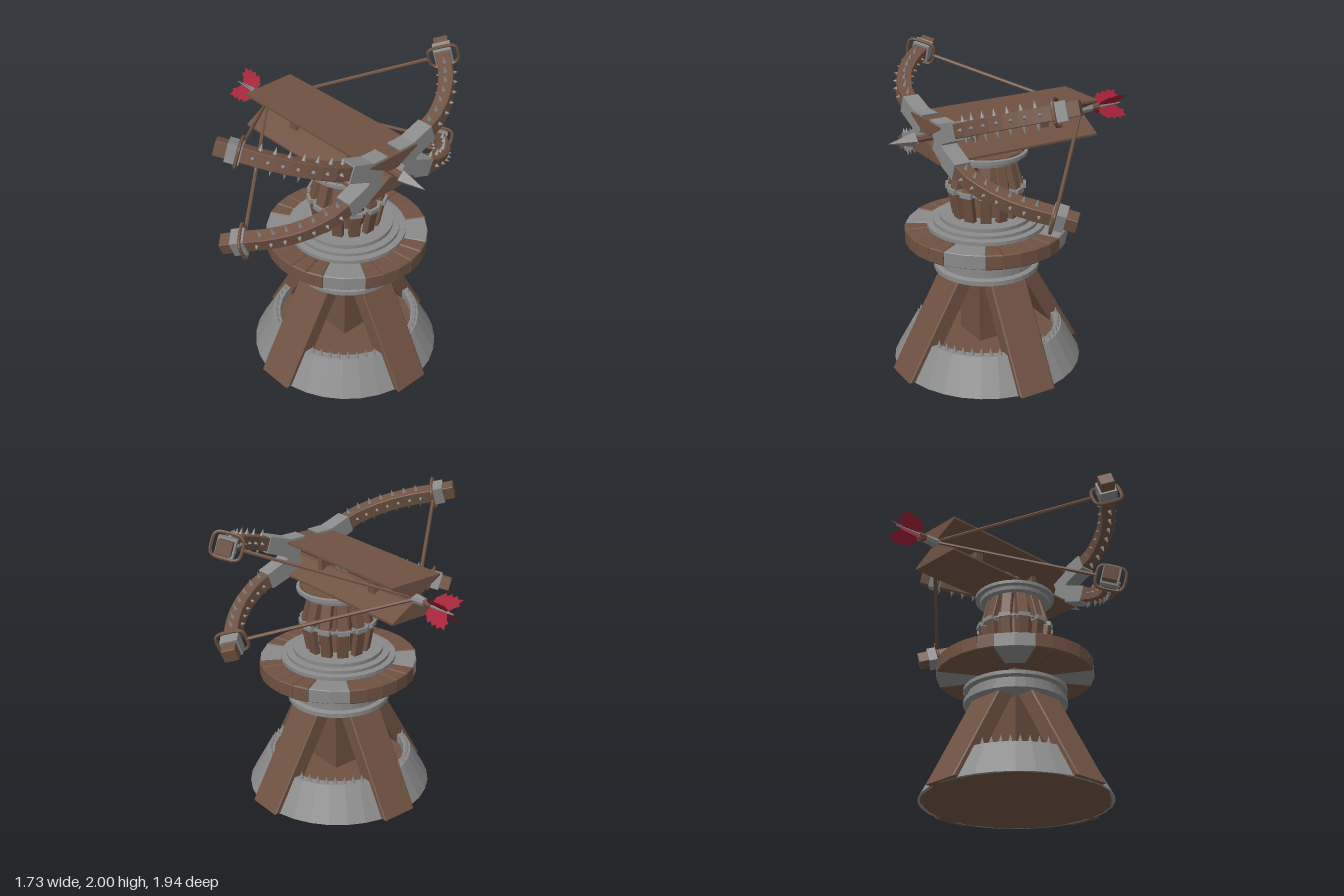
import * as THREE from 'three';

const mat = (name, color, o = {}) => {
  const m = new THREE.MeshStandardMaterial({ color, flatShading: true, ...o });
  m.name = name;
  return m;
};

export function createModel() {
  const wood = mat('wood', 0x6f5242);
  const metal = mat('metal', 0x8a8a8a);
  const red = mat('featherRed', 0xa31f35, { side: THREE.DoubleSide });
  const model = new THREE.Group();
  model.name = 'ballista';

  const add = (parent, name, geo, material, x = 0, y = 0, z = 0) => {
    const mesh = new THREE.Mesh(geo, material);
    mesh.name = name;
    mesh.position.set(x, y, z);
    parent.add(mesh);
    return mesh;
  };
  const group = (parent, name, x = 0, y = 0, z = 0) => {
    const g = new THREE.Group();
    g.name = name;
    g.position.set(x, y, z);
    parent.add(g);
    return g;
  };
  const box = (w, h, d) => new THREE.BoxGeometry(w, h, d);
  const lathe = (pts, n = 32) => new THREE.LatheGeometry(pts.map(p => new THREE.Vector2(...p)), n);
  const shape = pts => new THREE.Shape(pts.map(p => new THREE.Vector2(...p)));
  // Extrusion centred on its depth, with an optional chamfer
  const slab = (pts, depth, bevel = 0) => new THREE.ExtrudeGeometry(shape(pts), {
    depth: depth - 2 * bevel, bevelEnabled: bevel > 0, bevelThickness: bevel,
    bevelSize: bevel, bevelOffset: -bevel, bevelSegments: 1,
  }).translate(0, 0, -depth / 2 + bevel);
  // Flat ring segment centred on +x
  const wedge = (r0, r1, half, h, steps, bevel) => {
    const pts = [];
    for (let i = 0; i <= steps; i++) {
      const a = half * (2 * i / steps - 1);
      pts.push([r1 * Math.cos(a), r1 * Math.sin(a)]);
    }
    for (let i = steps; i >= 0; i--) {
      const a = half * (2 * i / steps - 1);
      pts.push([r0 * Math.cos(a), r0 * Math.sin(a)]);
    }
    return slab(pts, h, bevel).rotateX(-Math.PI / 2);
  };
  const deg = Math.PI / 180;

  // ---- Base ----
  const base = group(model, 'base', 0.2, 0, -0.015);
  add(base, 'baseFloor', new THREE.CylinderGeometry(0.5, 0.61, 0.17, 32), wood, 0, 0.085);
  add(base, 'baseBand', lathe([[0.6, 0], [0.625, 0], [0.5, 0.23], [0.45, 0.23], [0.45, 0.15]]), metal);
  add(base, 'centrePost', box(0.26, 0.86, 0.26), wood, 0, 0.43);
  const legGeo = slab([[0.52, 0], [0.648, 0], [0.265, 0.67], [0.14, 0.67]], 0.255, 0.008);
  const baseSpike = new THREE.ConeGeometry(0.016, 0.055, 6);
  for (let q = 0; q < 4; q++) {
    add(base, 'leg', legGeo, wood).rotation.y = q * Math.PI / 2;
    for (let i = 0; i < 8; i++) {
      const a = q * Math.PI / 2 + (20 + i * 50 / 7) * deg;
      add(base, 'baseSpike', baseSpike, metal, 0.475 * Math.cos(a), 0.255, 0.475 * Math.sin(a));
    }
  }
  add(base, 'collar', lathe([[0, 0.65], [0.345, 0.65], [0.345, 0.68], [0.315, 0.69],
    [0.315, 0.73], [0.345, 0.74], [0.345, 0.765], [0.29, 0.765], [0.28, 0.75], [0, 0.75]]), metal);

  // ---- Platform: five planks per side, metal plates on the diagonals ----
  const platform = group(base, 'platform', 0, 0.895, 0);
  add(platform, 'platformCore', new THREE.CylinderGeometry(0.3, 0.3, 0.08, 24), wood);
  const plankGeo = wedge(0.26, 0.53, 6 * deg, 0.1, 1, 0.007);
  const plateGeo = wedge(0.26, 0.525, 14.5 * deg, 0.094, 2, 0.004);
  for (let q = 0; q < 4; q++) {
    for (let i = -2; i <= 2; i++) {
      add(platform, 'plank', plankGeo, wood).rotation.y = q * Math.PI / 2 + i * 12.2 * deg;
    }
    add(platform, 'cornerPlate', plateGeo, metal).rotation.y = (q + 0.5) * Math.PI / 2;
  }
  add(base, 'turntable', lathe([[0, 0.94], [0.385, 0.94], [0.385, 0.968], [0.345, 0.972],
    [0.345, 0.993], [0.3, 0.997], [0.3, 1.022], [0, 1.022]]), metal);

  // ---- Turret: a core inside a cage of bent staves ----
  const turret = group(base, 'turret');
  add(turret, 'turretCore', new THREE.CylinderGeometry(0.11, 0.13, 0.42, 8), wood, 0, 1.22);
  const staveGeo = slab([[0.17, 1.015], [0.215, 1.015], [0.247, 1.2], [0.185, 1.42], [0.135, 1.42], [0.2, 1.2]], 0.07, 0.005);
  for (let i = 0; i < 12; i++) {
    const bay = group(turret, 'staveBay');
    bay.rotation.y = (i * 30) * deg;
    add(bay, 'stave', staveGeo, wood);
    add(bay, 'staveClip', box(0.065, 0.03, 0.08), metal, 0.225, 1.21);
    add(bay, 'cageBar', box(0.015, 0.015, 0.13), metal, 0.225, 1.21).rotation.y = 0;
  }
  add(turret, 'turretRing', lathe([[0, 1.4], [0.235, 1.4], [0.24, 1.425], [0.27, 1.43],
    [0.27, 1.452], [0.25, 1.456], [0.25, 1.45]]), metal);
  add(turret, 'turretCap', new THREE.CylinderGeometry(0.25, 0.25, 0.03, 10), wood, 0, 1.444);

  // ---- Stock: two facing wedges with the bolt between them ----
  const stock = group(model, 'stock', 0.035, 0, 0);
  const top = [[-0.19, 1.702], [-0.19, 1.688], [-0.035, 1.61], [0.035, 1.61], [0.19, 1.688], [0.19, 1.702]];
  const bottom = [[-0.185, 1.46], [0.185, 1.46], [0.185, 1.474], [0.035, 1.56], [-0.035, 1.56], [-0.185, 1.474]];
  add(stock, 'topRail', slab(top, 1.15).rotateY(Math.PI / 2), wood);
  add(stock, 'bottomRail', slab(bottom, 1.15).rotateY(Math.PI / 2), wood);
  add(stock, 'rearBracket', box(0.06, 0.125, 0.15), wood, -0.245, 1.59);
  add(stock, 'frontBracket', box(0.04, 0.125, 0.15), wood, 0.27, 1.59);

  // ---- Bolt ----
  const bolt = group(model, 'bolt', 0, 1.588, 0);
  const rod = (name, r0, r1, x0, x1, m, n = 8) =>
    add(bolt, name, new THREE.CylinderGeometry(r1, r0, x1 - x0, n).rotateZ(-Math.PI / 2), m, (x0 + x1) / 2);
  rod('shaft', 0.024, 0.024, -0.68, 0.7, wood);
  rod('nock', 0.027, 0.034, -0.62, -0.51, metal);
  rod('shaftBand', 0.027, 0.027, 0.09, 0.145, metal);
  rod('shaftBand', 0.027, 0.027, 0.165, 0.215, metal);
  rod('tailSpine', 0.004, 0.018, -0.86, -0.66, metal);
  rod('boltHead', 0.048, 0.001, 0.685, 0.86, metal, 4);
  const feather = new THREE.ShapeGeometry(shape([[-0.67, 0], [-0.67, 0.055], [-0.7, 0.085], [-0.72, 0.105],
    [-0.74, 0.09], [-0.765, 0.112], [-0.785, 0.095], [-0.81, 0.115], [-0.825, 0.098], [-0.865, 0.105],
    [-0.85, 0.075], [-0.865, 0.06], [-0.835, 0.04], [-0.81, 0]]));
  for (let i = 0; i < 4; i++) add(bolt, 'feather', feather, red).rotation.x = (45 + i * 90) * deg;

  // ---- Four bow arms, each curving in its own tilted plane ----
  const curve = new THREE.SplineCurve([[0.55, 0.28], [0.548, 0.38], [0.53, 0.48], [0.455, 0.64],
    [0.34, 0.78], [0.225, 0.88], [0.11, 0.985]].map(p => new THREE.Vector2(...p)));
  const at = (u, off = 0) => {
    const p = curve.getPointAt(u), t = curve.getTangentAt(u);
    return { x: p.x + t.y * off, z: p.y - t.x * off, t };
  };
  const outline = [];
  for (let i = 0; i <= 10; i++) outline.push([at(i / 10, 0.046).x, at(i / 10, 0.046).z]);
  for (let i = 10; i >= 0; i--) outline.push([at(i / 10, -0.046).x, at(i / 10, -0.046).z]);
  const armGeo = slab(outline, 0.09, 0.004).rotateX(Math.PI / 2);
  const sleeveGeo = slab([[0.09, -0.1], [0.13, -0.085], [0.2, -0.06], [0.36, -0.056],
    [0.36, 0.056], [0.2, 0.06], [0.13, 0.085], [0.09, 0.1]], 0.108).rotateY(-Math.PI / 2);
  const spikeGeo = new THREE.ConeGeometry(0.015, 0.05, 6).translate(0, 0.02, 0);
  const studGeo = new THREE.ConeGeometry(0.014, 0.028, 6).translate(0, 0.01, 0);
  const up = new THREE.Vector3(0, 1, 0);
  // Rounded rope loop around the arm
  const loopPts = [];
  for (let i = 0; i < 16; i++) {
    const c = Math.cos(i * Math.PI / 8), s = Math.sin(i * Math.PI / 8);
    loopPts.push(new THREE.Vector3(0.095 * Math.sign(c) * Math.sqrt(Math.abs(c)), 0.078 * Math.sign(s) * Math.sqrt(Math.abs(s)), 0));
  }
  const loopGeo = new THREE.TubeGeometry(new THREE.CatmullRomCurve3(loopPts, true), 32, 0.011, 6, true);

  for (const angle of [-20.5, 20.5, 159.5, 200.5]) {
    const arm = group(model, 'bowArm', 0, 1.59, 0);
    arm.rotation.x = angle * deg;
    add(arm, 'limb', armGeo, wood);
    add(arm, 'limbSleeve', sleeveGeo, metal, 0.55);
    for (let i = 0; i < 7; i++) {
      const u = 0.14 + i * 0.095;
      for (const side of [1, -1]) {
        const e = at(u), f = at(u + 0.03, side * 0.046);
        const spike = add(arm, 'limbSpike', spikeGeo, metal, e.x, side * 0.045, e.z);
        if (side < 0) spike.rotation.x = Math.PI;
        const stud = add(arm, 'limbStud', studGeo, metal, f.x, 0, f.z);
        stud.quaternion.setFromUnitVectors(up, new THREE.Vector3(side * f.t.y, 0, -side * f.t.x));
      }
    }
    // Clamp, loop and string at the tip
    const c = at(0.87), l = at(0.84);
    add(arm, 'tipClamp', box(0.115, 0.115, 0.085), metal, c.x, 0, c.z).rotation.y = Math.atan2(c.t.x, c.t.y);
    add(arm, 'ropeLoop', loopGeo, wood, l.x, 0, l.z).rotation.y = Math.atan2(l.t.x, l.t.y);
    const s = at(0.84, -0.09);
    const from = new THREE.Vector3(s.x, 0, s.z), to = new THREE.Vector3(-0.53, 0, 0.015);
    const string = add(arm, 'bowString', new THREE.CylinderGeometry(0.012, 0.012, from.distanceTo(to), 6), wood);
    string.position.copy(from).add(to).multiplyScalar(0.5);
    string.quaternion.setFromUnitVectors(up, to.clone().sub(from).normalize());
  }
  return model;
}
